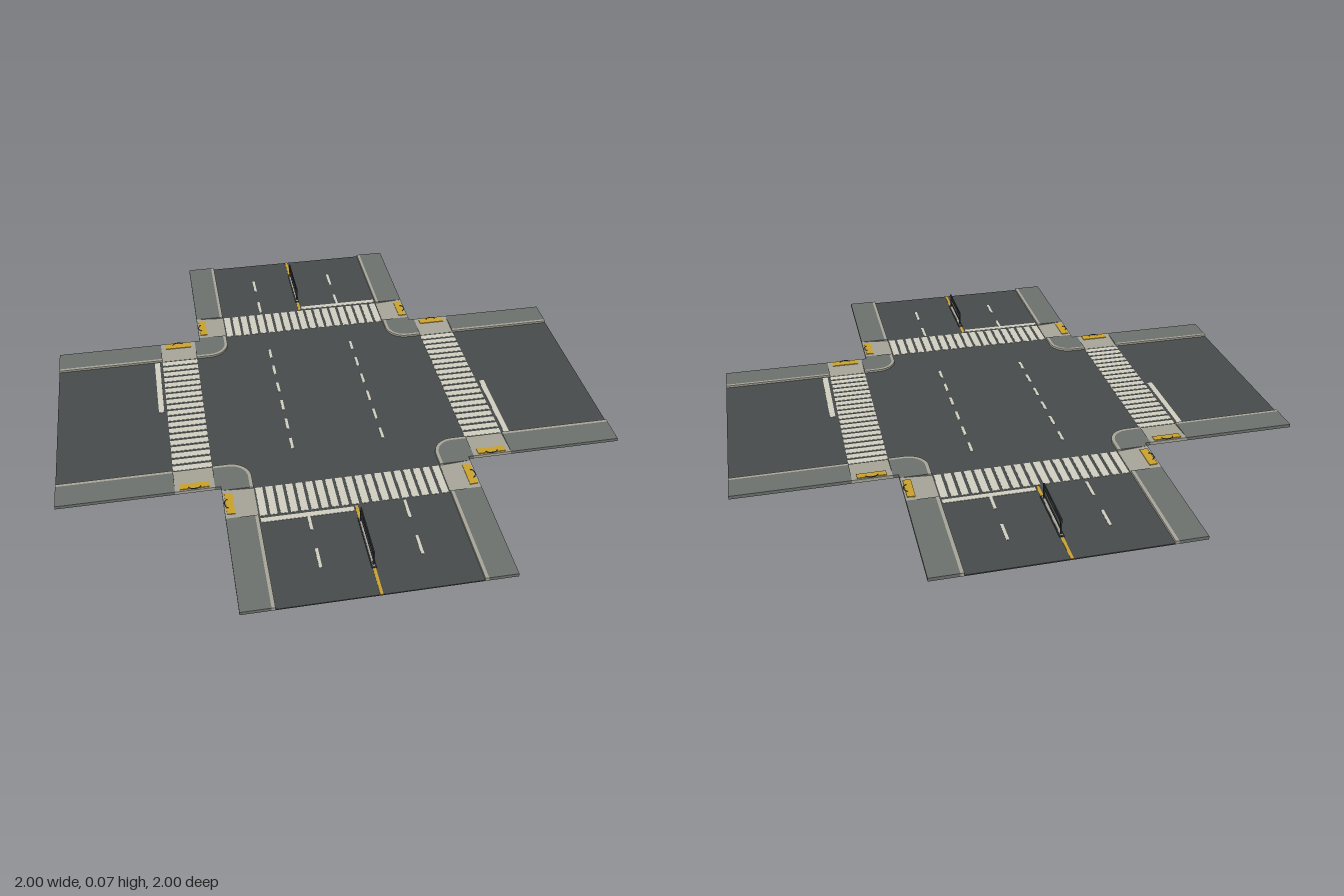
import * as THREE from 'three';

const mat = (name, color) => {
  const m = new THREE.MeshStandardMaterial({ color });
  m.name = name;
  return m;
};

export function createModel() {
  const asphalt = mat('asphalt', 0x464a4b);
  const pavement = mat('pavement', 0x6b706d);
  const concrete = mat('concrete', 0xa5a396);
  const paint = mat('white paint', 0xcfccbe);
  const yellow = mat('yellow paint', 0xc9a02c);
  const metal = mat('dark metal', 0x33373a);

  const ROAD = 0.004, WALK = 0.012;   // top heights
  const IN = 0.33, OUT = 0.44, CURB = 0.012, R = 0.075;
  const Z0 = 0.46, Z1 = 0.597;        // crosswalk band

  const root = new THREE.Group();
  root.name = 'intersection';

  const add = (parent, name, geometry, material) => {
    const m = new THREE.Mesh(geometry, material);
    m.name = name;
    parent.add(m);
    return m;
  };
  // Box given by its limits on each axis
  const slab = (parent, name, material, x0, x1, y0, y1, z0, z1) => {
    const m = add(parent, name, new THREE.BoxGeometry(x1 - x0, y1 - y0, z1 - z0), material);
    m.position.set((x0 + x1) / 2, (y0 + y1) / 2, (z0 + z1) / 2);
    return m;
  };
  const mark = (parent, name, material, x0, x1, z0, z1) =>
    slab(parent, name, material, x0, x1, ROAD - 0.001, ROAD + 0.0012, z0, z1);
  // Plan outline in x and z, raised from the ground to a height
  const raise = (shape, height) => {
    const g = new THREE.ExtrudeGeometry(shape, { depth: height, bevelEnabled: false, curveSegments: 10 });
    return g.rotateX(Math.PI / 2).translate(0, height, 0);
  };

  // Cross-shaped roadway widening around the rounded corners
  const road = new THREE.Shape();
  const turn = (x, z, a) => [x * Math.cos(a) - z * Math.sin(a), x * Math.sin(a) + z * Math.cos(a)];
  for (let i = 0; i < 4; i++) {
    const a = i * Math.PI / 2;
    if (i === 0) road.moveTo(...turn(1, -IN, a));
    else road.lineTo(...turn(1, -IN, a));
    road.lineTo(...turn(1, IN, a));
    road.lineTo(...turn(IN + R, IN, a));
    road.quadraticCurveTo(...turn(IN + R * 0.15, IN + R * 0.15, a), ...turn(IN, IN + R, a));
  }
  road.closePath();
  add(root, 'roadway', raise(road, ROAD), asphalt);

  // Corner outline, inset from the kerb face
  const cornerShape = (inset) => {
    const e = IN + inset, r = R - inset;
    const s = new THREE.Shape();
    s.moveTo(e + r, e);
    s.lineTo(Z0, e);
    s.lineTo(Z0, OUT);
    s.lineTo(OUT, OUT);
    s.lineTo(OUT, Z0);
    s.lineTo(e, Z0);
    s.lineTo(e, e + r);
    s.absarc(e + r, e + r, r, Math.PI, Math.PI * 1.5, false);
    return s;
  };
  const kerbBand = () => {
    const a = IN, b = IN + CURB, c = IN + R;
    const s = new THREE.Shape();
    s.moveTo(Z0, a);
    s.lineTo(Z0, b);
    s.lineTo(c, b);
    s.absarc(c, c, R - CURB, Math.PI * 1.5, Math.PI, true);
    s.lineTo(b, Z0);
    s.lineTo(a, Z0);
    s.lineTo(a, c);
    s.absarc(c, c, R, Math.PI, Math.PI * 1.5, false);
    return s;
  };

  // Sloped ramp with a tactile plate
  const makeRamp = () => {
    const g = new THREE.Group();
    g.name = 'kerbRamp';
    const p = new THREE.Shape();
    p.moveTo(IN, 0);
    p.lineTo(OUT, 0);
    p.lineTo(OUT, WALK);
    p.lineTo(IN, ROAD + 0.001);
    p.closePath();
    const len = Z1 - Z0;
    add(g, 'rampSlope', new THREE.ExtrudeGeometry(p, { depth: len, bevelEnabled: false })
      .translate(0, 0, -len / 2), concrete);
    const plate = new THREE.Group();
    plate.name = 'tactilePlate';
    plate.position.set(0.419, 0.0115, 0);
    plate.rotation.z = Math.atan((WALK - ROAD) / (OUT - IN));
    slab(plate, 'tactileSurface', yellow, -0.014, 0.014, -0.002, 0.002, -0.05, 0.05);
    const arc = add(plate, 'tactileArc',
      new THREE.TorusGeometry(0.02, 0.002, 4, 10, Math.PI).rotateX(Math.PI / 2)
        .rotateY(Math.PI / 2).scale(0.6, 1, 1), metal);
    arc.position.set(0.006, 0.002, 0);
    g.add(plate);
    return g;
  };

  // Four identical arms, each with its walks, ramps, crossing and stop line
  for (let i = 0; i < 4; i++) {
    const arm = new THREE.Group();
    arm.name = 'arm' + (i + 1);
    arm.rotation.y = i * Math.PI / 2;
    root.add(arm);

    add(arm, 'cornerPavement', raise(cornerShape(CURB), WALK), pavement);
    add(arm, 'cornerKerb', raise(kerbBand(), WALK), concrete);

    for (const s of [1, -1]) {
      const side = new THREE.Group();
      side.name = s > 0 ? 'leftWalk' : 'rightWalk';
      side.position.z = (Z0 + Z1) / 2;
      side.rotation.y = s > 0 ? 0 : Math.PI;
      side.add(makeRamp());
      arm.add(side);
      const x = (a, b) => s > 0 ? [a, b] : [-b, -a];
      slab(arm, 'pavement', pavement, ...x(IN + CURB, OUT), 0, WALK, Z1, 1);
      slab(arm, 'kerb', concrete, ...x(IN, IN + CURB), 0, WALK, Z1, 1);
    }

    const count = 19, pitch = 2 * IN / count;
    for (let k = 0; k < count; k++) {
      const c = (k - (count - 1) / 2) * pitch;
      mark(arm, 'crossingStripe', paint, c - 0.0122, c + 0.0122, Z0, Z1);
    }
    mark(arm, 'stopLine', paint, -0.325, -0.01, 0.608, 0.628);
  }

  // Broken lane lines
  const dashes = [[-0.865, -0.782], [-0.697, -0.615], [0.607, 0.69], [0.775, 0.858]];
  for (let k = 0; k < 6; k++) dashes.push([-0.34 + k * 0.112, -0.282 + k * 0.112]);
  for (const x of [-0.166, 0.166])
    for (const [a, b] of dashes) mark(root, 'laneDash', paint, x - 0.005, x + 0.005, a, b);

  // Centre lines and median railings
  for (const s of [1, -1]) {
    const median = new THREE.Group();
    median.name = s > 0 ? 'frontMedian' : 'backMedian';
    median.rotation.y = s > 0 ? 0 : Math.PI;
    root.add(median);
    mark(median, 'centreLine', yellow, -0.005, 0.005, 0.605, 1);
    slab(median, 'railingBase', metal, -0.008, 0.008, ROAD - 0.001, 0.008, 0.665, 0.89);
    slab(median, 'railingBaseTop', concrete, -0.004, 0.004, 0.007, 0.009, 0.67, 0.885);
    for (const z of [0.68, 0.877])
      slab(median, 'railingPost', metal, -0.0025, 0.0025, ROAD, 0.066, z - 0.0025, z + 0.0025);
    for (const y of [0.026, 0.049, 0.064])
      slab(median, 'rail', metal, -0.002, 0.002, y - 0.002, y + 0.002, 0.68, 0.877);
  }
  return root;
}
